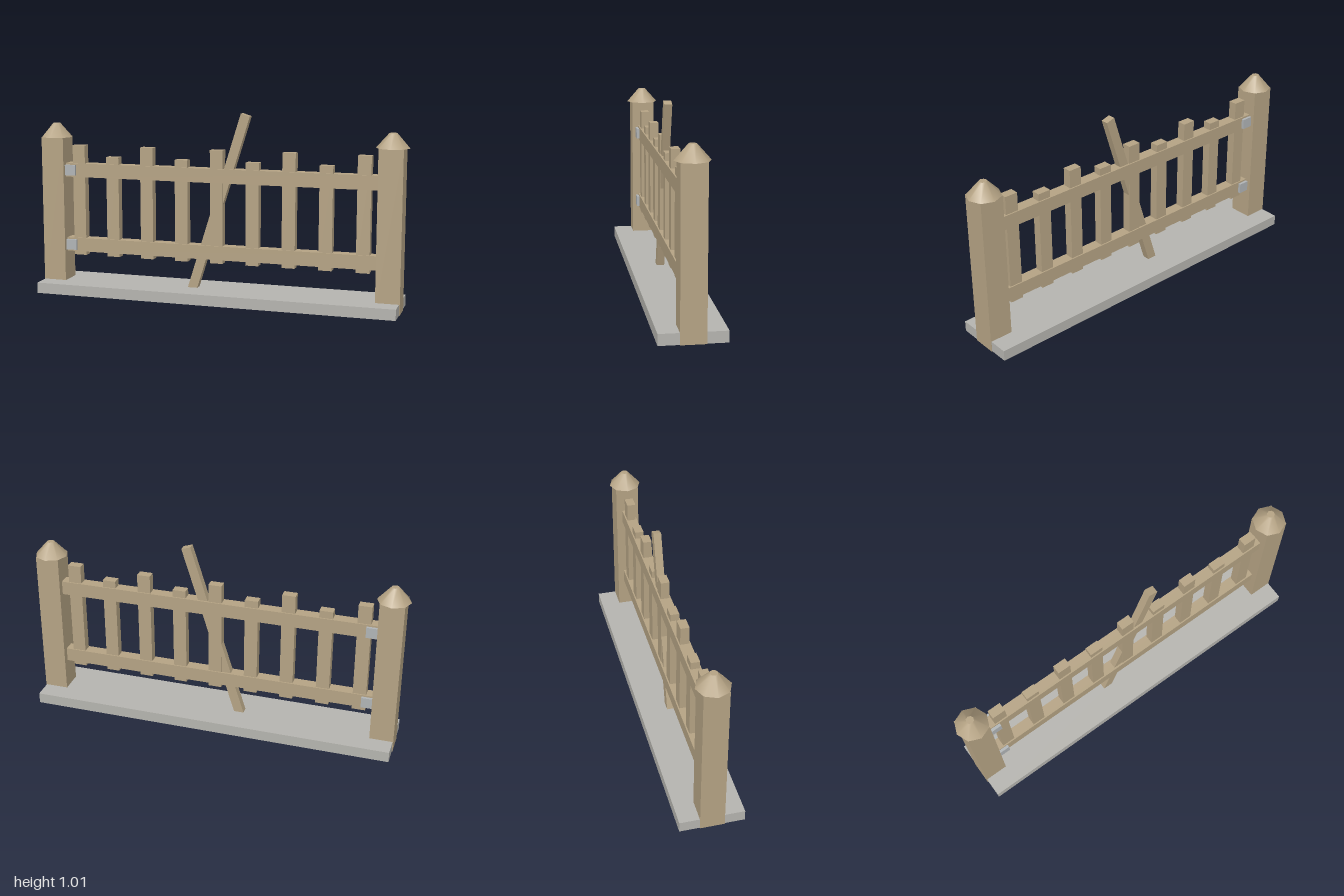
import * as THREE from 'three';

export function createModel() {
  const gate = new THREE.Group();
  gate.name = 'picketGate';

  const material = (name, color) => {
    const m = new THREE.MeshStandardMaterial({ color });
    m.name = name;
    return m;
  };
  const wood = material('wood', 0xb5a384);
  const stone = material('stone', 0xb5b4af);
  const metal = material('metal', 0xb0b4b6);

  const add = (name, geometry, mat, x, y, z = 0) => {
    const mesh = new THREE.Mesh(geometry, mat);
    mesh.name = name;
    mesh.position.set(x, y, z);
    gate.add(mesh);
    return mesh;
  };
  // Box centred on x and z, spanning y0 to y1
  const box = (name, mat, x, y0, y1, width, depth) =>
    add(name, new THREE.BoxGeometry(width, y1 - y0, depth), mat, x, (y0 + y1) / 2);

  // Ground slab
  box('baseSlab', stone, 0, 0.021, 0.078, 1.942, 0.33);

  // Posts with eight-sided, smoothly shaded caps
  for (const [side, s] of [['left', 1], ['right', -1]]) {
    box(side + 'Post', wood, s * 0.912, 0.02, 0.858, 0.125, 0.125);
    add(side + 'PostCap', new THREE.CylinderGeometry(0.02, 0.086, 0.075, 8), wood, s * 0.912, 0.8945);
  }

  // Pickets alternate tall and short
  for (let i = 0; i < 9; i++) {
    box('picket', wood, (i - 4) * 0.194, 0.217, i % 2 ? 0.758 : 0.816, 0.07, 0.046);
  }

  // Horizontal rails, each hung on a hinge at the right post
  for (const [name, y] of [['lower', 0.274], ['upper', 0.682]]) {
    box(name + 'Rail', wood, 0, y - 0.037, y + 0.037, 1.71, 0.06);
    box(name + 'Hinge', metal, -0.822, y - 0.028, y + 0.028, 0.064, 0.09);
  }

  // Slanted brace through the middle
  const brace = add('diagonalBrace', new THREE.BoxGeometry(0.05, 1.042, 0.04), wood, 0, 0.505);
  brace.rotation.z = -0.302;

  return gate;
}
